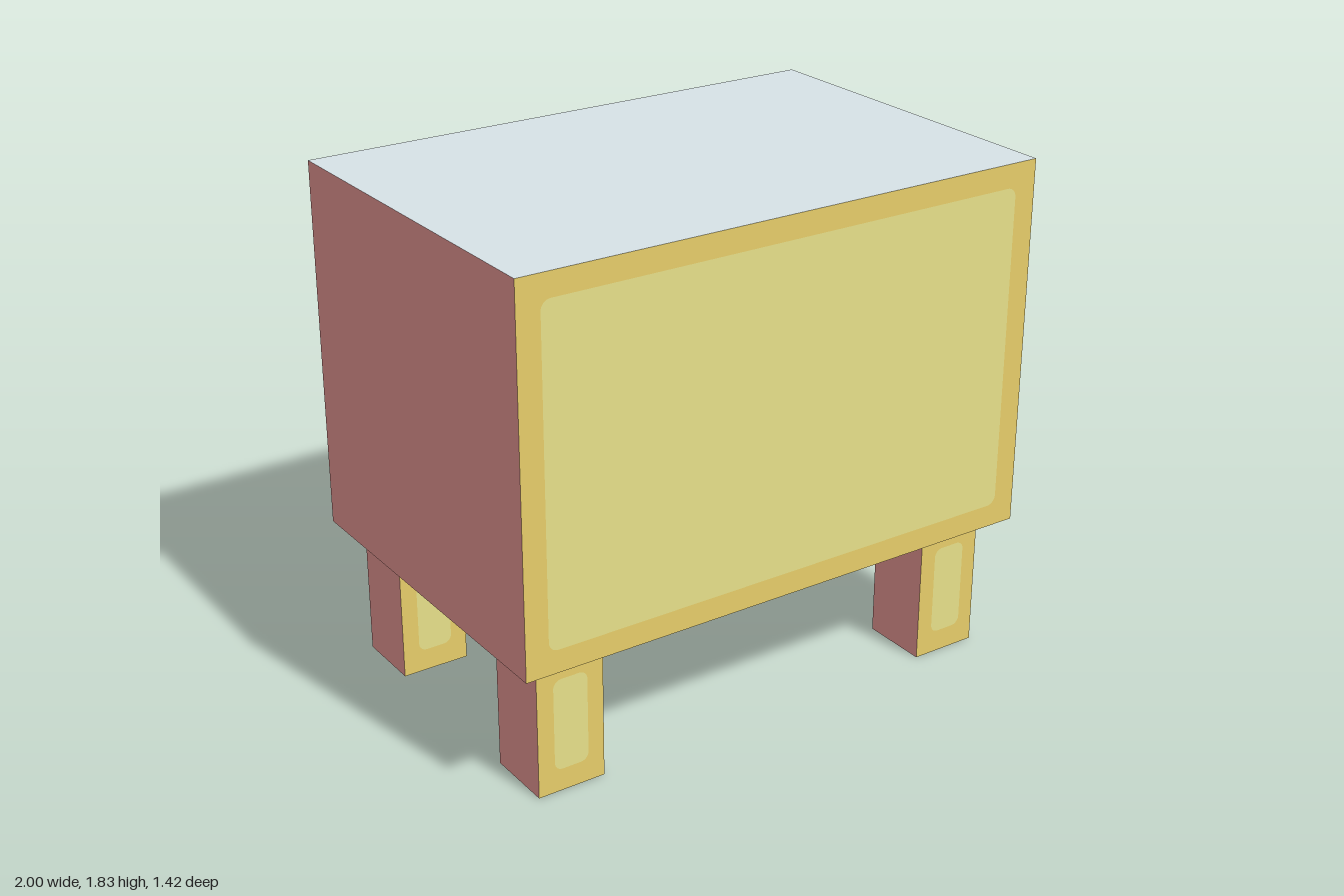
import * as THREE from 'three';

const mat = (name, color) => {
  const m = new THREE.MeshStandardMaterial({ color });
  m.name = name;
  return m;
};

export function createModel() {
  const group = new THREE.Group();
  const green = mat('green left side', 0x7bffa3);
  const red = mat('pink right side', 0xffa7a4);
  const pale = mat('pale top', 0xecf8fd);
  const slate = mat('slate underside', 0x6e788c);
  const amber = mat('amber front', 0xf8dd72);
  const yellow = mat('light yellow inset', 0xfff899);
  const blue = mat('blue back', 0x7bd4ff);

  // Each box face takes the colour of its direction: +x, -x, +y, -y, +z, -z
  const faces = [green, red, pale, slate, amber, blue];

  // Box given by its minimum corner and size
  function block(name, [x, y, z], [w, h, d]) {
    const mesh = new THREE.Mesh(new THREE.BoxGeometry(w, h, d), faces);
    mesh.position.set(x + w / 2, y + h / 2, z + d / 2);
    mesh.name = name;
    group.add(mesh);
    return mesh;
  }

  // Rounded light panel lying on the front face of a block
  function inset(name, parent, w, h, r = 0.035) {
    const x = w / 2, y = h / 2;
    const s = new THREE.Shape();
    s.moveTo(-x + r, -y);
    s.lineTo(x - r, -y);
    s.absarc(x - r, -y + r, r, -Math.PI / 2, 0);
    s.absarc(x - r, y - r, r, 0, Math.PI / 2);
    s.absarc(-x + r, y - r, r, Math.PI / 2, Math.PI);
    s.absarc(-x + r, -y + r, r, Math.PI, Math.PI * 1.5);
    const panel = new THREE.Mesh(new THREE.ShapeGeometry(s, 6), yellow);
    panel.position.z = parent.geometry.parameters.depth / 2 + 0.002;
    panel.name = name;
    parent.add(panel);
  }

  // Cabinet body
  const body = block('cabinet', [-1, 0.5, -0.625], [2, 1.3333, 1.3333]);
  inset('cabinetInset', body, 1.8333, 1.1667);

  // Two drawer fronts on the back side
  block('lowerDrawer', [-0.8333, 0.5833, -0.7083], [1.6667, 0.5, 0.0833]);
  block('upperDrawer', [-0.8333, 1.25, -0.7083], [1.6667, 0.5, 0.0833]);

  // Four square legs
  for (const [side, x] of [['left', 0.6667], ['right', -0.9167]]) {
    for (const [end, z] of [['Front', 0.375], ['Back', -0.5417]]) {
      const leg = block(`${side}${end}Leg`, [x, 0, z], [0.25, 0.5, 0.25]);
      inset(`${side}${end}LegInset`, leg, 0.128, 0.335, 0.03);
    }
  }
  return group;
}
